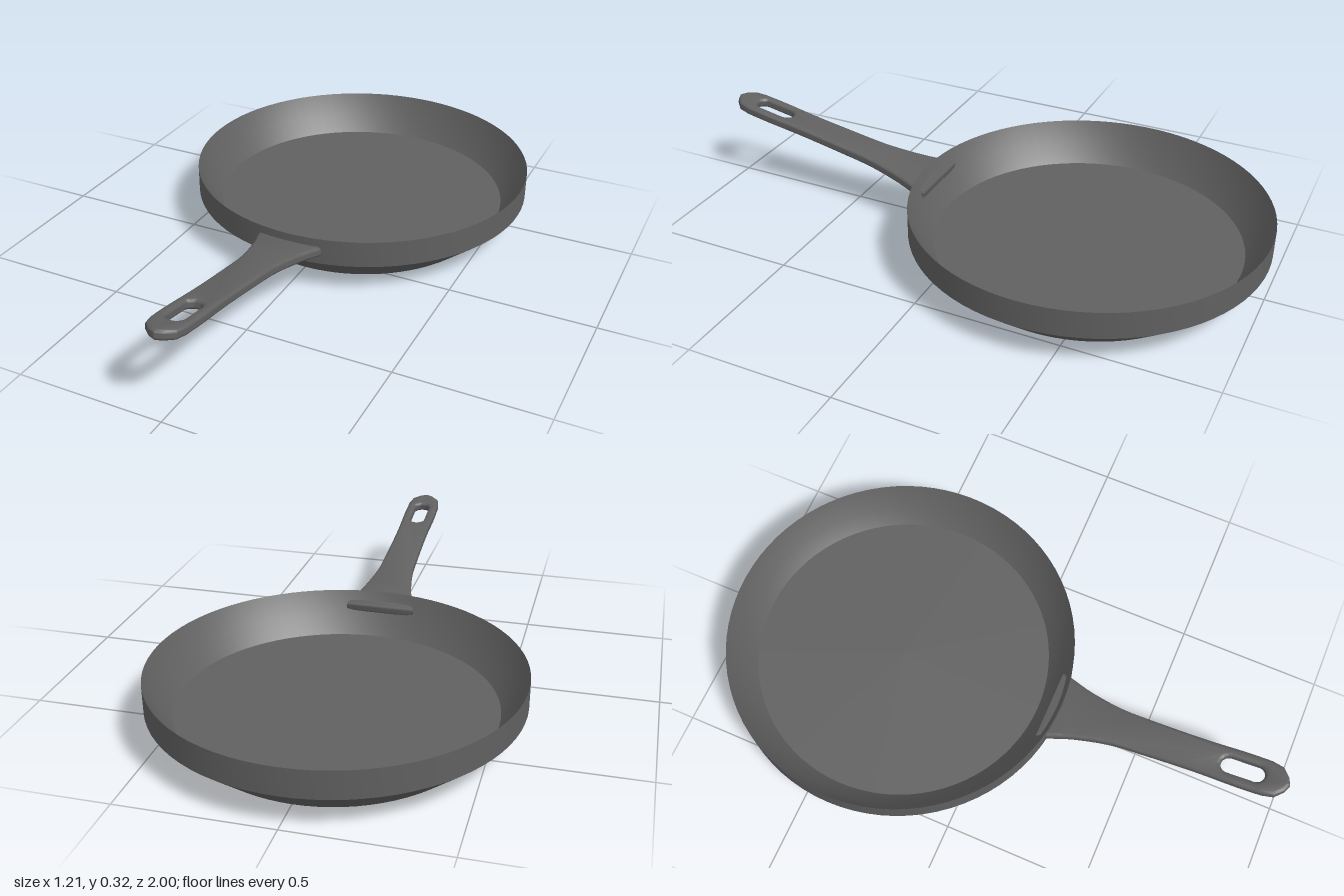
import * as THREE from 'three';
import { toCreasedNormals } from 'three/addons/utils/BufferGeometryUtils.js';

const iron = new THREE.MeshStandardMaterial({ color: 0x606060 });
iron.name = 'dark iron';

// Pan body: closed profile from the underside, up the wall and back to the cooking floor
function createPan() {
  const profile = [
    [0, 0], [0.477, 0], [0.605, 0.11], [0.605, 0.203],
    [0.565, 0.12], [0.52, 0.066], [0, 0.066],
  ].map(([r, y]) => new THREE.Vector2(r, y));
  const geometry = toCreasedNormals(new THREE.LatheGeometry(profile, 80), 0.3);
  const pan = new THREE.Mesh(geometry, iron);
  pan.name = 'pan';
  pan.position.z = -0.395;
  return pan;
}

// Handle: flared outline with a pointed tip and a hanging slot, rounded at the edges
function createHandle() {
  const side = new THREE.SplineCurve([
    [0.122, 0], [0.115, 0.04], [0.09, 0.12], [0.067, 0.24], [0.061, 0.36],
    [0.058, 0.54], [0.061, 0.68], [0.06, 0.77],
  ].map(([x, y]) => new THREE.Vector2(x, y))).getPoints(28);
  const right = [...side, new THREE.Vector2(0.052, 0.81), new THREE.Vector2(0.025, 0.836)];
  const left = right.map((p) => new THREE.Vector2(-p.x, p.y)).reverse();
  const shape = new THREE.Shape([...right, new THREE.Vector2(0, 0.847), ...left]);

  const slot = new THREE.Path();
  slot.absarc(0, 0.735, 0.028, 0, Math.PI, false);
  slot.absarc(0, 0.643, 0.028, Math.PI, Math.PI * 2, false);
  slot.closePath();
  shape.holes.push(slot);

  const bevel = 0.011;
  const geometry = new THREE.ExtrudeGeometry(shape, {
    depth: 0.012, bevelThickness: bevel, bevelSize: bevel, bevelOffset: -bevel,
    bevelSegments: 3, curveSegments: 10,
  });
  geometry.translate(0, 0, -0.006);
  geometry.rotateX(Math.PI / 2);
  const handle = new THREE.Mesh(toCreasedNormals(geometry, 0.6), iron);
  handle.name = 'handle';
  handle.position.set(0, 0.15, 0.167);
  handle.rotation.x = -0.18;
  return handle;
}

export function createModel() {
  const model = new THREE.Group();
  model.name = 'frying pan';
  model.add(createPan(), createHandle());
  return model;
}
